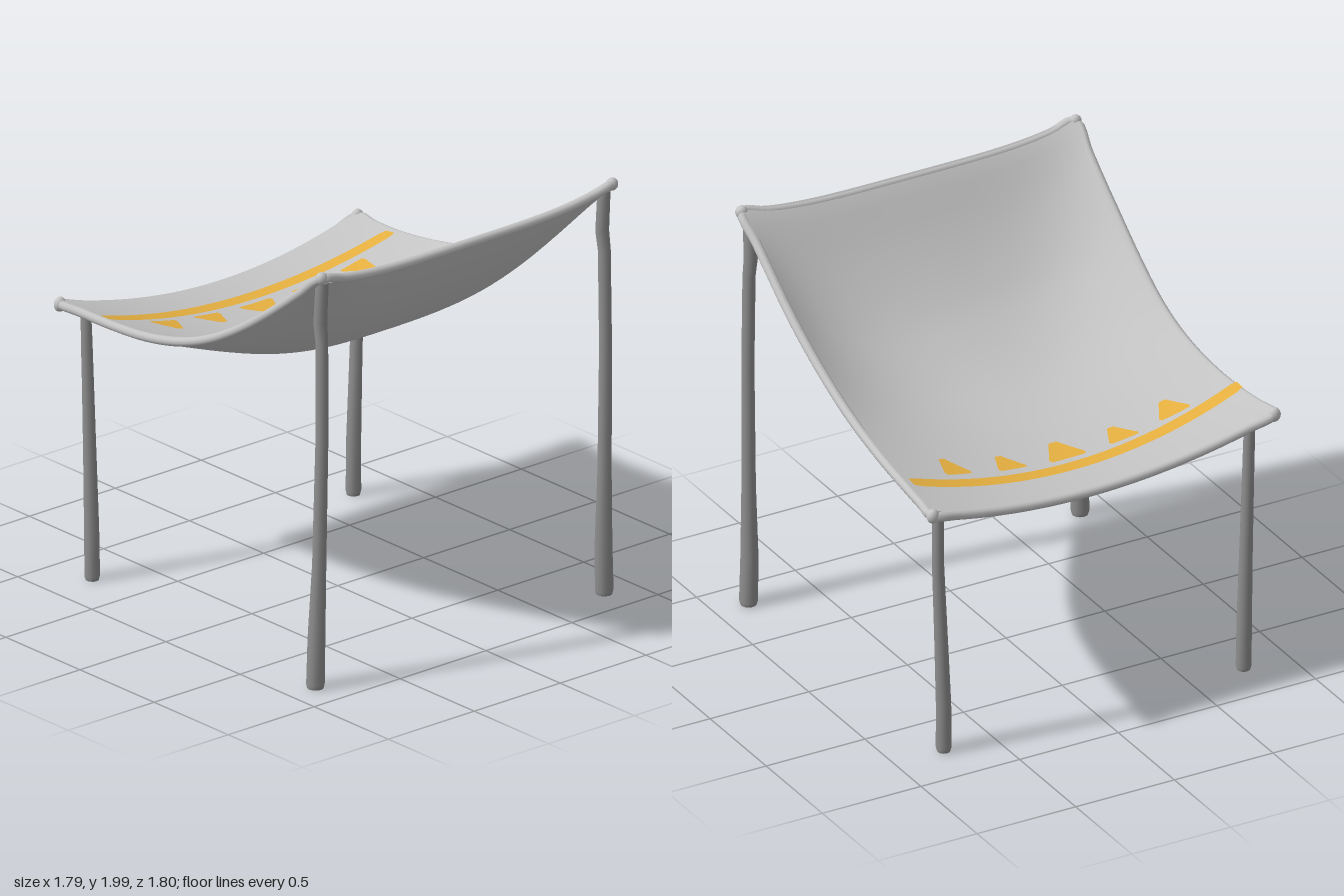
import * as THREE from 'three';

const mat = (name, color, side = THREE.FrontSide) =>
  Object.assign(new THREE.MeshStandardMaterial({ color, side }), { name });

// Stations from back to front: z, height at the middle, height at the sides, half width
const STATIONS = [
  [-0.87, 1.165, 1.29, 0.865], [-0.6, 1.155, 1.29, 0.843], [-0.35, 1.165, 1.31, 0.833],
  [-0.1, 1.195, 1.36, 0.825], [0.1, 1.245, 1.435, 0.825], [0.3, 1.335, 1.545, 0.832],
  [0.48, 1.455, 1.665, 0.838], [0.68, 1.655, 1.815, 0.84], [0.87, 1.905, 1.965, 0.845],
];
const HEM = 0.022;

// Smooth interpolation of one station column
function along(z, col) {
  const s = STATIONS, n = s.length - 1;
  let i = 0;
  while (i < n - 1 && z > s[i + 1][0]) i++;
  const slope = (k) => {
    const a = s[Math.max(k - 1, 0)], b = s[Math.min(k + 1, n)];
    return (b[col] - a[col]) / (b[0] - a[0]);
  };
  const h = s[i + 1][0] - s[i][0];
  const t = THREE.MathUtils.clamp((z - s[i][0]) / h, 0, 1);
  const t2 = t * t, t3 = t2 * t;
  return (2 * t3 - 3 * t2 + 1) * s[i][col] + (t3 - 2 * t2 + t) * h * slope(i)
    + (3 * t2 - 2 * t3) * s[i + 1][col] + (t3 - t2) * h * slope(i + 1);
}

// Height of the sagging cloth
function clothY(x, z) {
  const u = Math.min(Math.abs(x) / along(z, 3), 1.05);
  const power = 2 + 2 * THREE.MathUtils.smoothstep(z, -0.4, 0.9);
  const mid = along(z, 1), edge = along(z, 2);
  const tilt = -0.025 * x * THREE.MathUtils.smoothstep(-z, 0.2, 0.85);
  return mid + (edge - mid) * Math.pow(u, power) + tilt;
}

// Height of a face lying the given thickness off the cloth, measured square to it
function faceY(x, z, thickness) {
  const slope = (clothY(x, Math.min(z + 0.02, 0.87)) - clothY(x, z - 0.02)) / 0.04;
  return clothY(x, z) + thickness * Math.hypot(1, slope);
}

// Point of the cloth for u and v in -1..1
function clothPoint(u, v, thickness = 0) {
  const z0 = 0.87 * v;
  const x = u * along(z0, 3);
  const z = z0 + (v < 0 ? 0.02 * v * v * (1 - u * u) : 0);
  return new THREE.Vector3(x, faceY(x, z0, thickness), z);
}

// Grid surface from a point function; faces up unless flipped
function grid(nu, nv, fn, flip = false) {
  const pos = [], idx = [];
  for (let j = 0; j <= nv; j++)
    for (let i = 0; i <= nu; i++) pos.push(...fn(i / nu, j / nv).toArray());
  for (let j = 0; j < nv; j++)
    for (let i = 0; i < nu; i++) {
      const a = j * (nu + 1) + i, b = a + 1, c = a + nu + 1, d = c + 1;
      if (flip) idx.push(a, b, c, b, d, c);
      else idx.push(a, c, b, b, c, d);
    }
  const g = new THREE.BufferGeometry();
  g.setAttribute('position', new THREE.Float32BufferAttribute(pos, 3));
  g.setIndex(idx);
  g.computeVertexNormals();
  return g;
}

// Slightly bent, tapering pole; rings are [y, x, z, radius] from bottom to top
function pole(rings) {
  const n = rings.length - 1;
  const g = new THREE.CylinderGeometry(1, 1, n, 12, n);
  const p = g.attributes.position;
  for (let i = 0; i < p.count; i++) {
    const [y, x, z, r] = rings[Math.round(p.getY(i) + n / 2)];
    p.setXYZ(i, x + p.getX(i) * r, y, z + p.getZ(i) * r);
  }
  g.computeVertexNormals();
  return g;
}

export function createModel() {
  const model = new THREE.Group();
  model.name = 'canopy';
  const cloth = mat('light cloth', 0xc4c4c4);
  const wood = mat('grey pole', 0x8e8e8e);
  const paint = mat('ochre trim', 0xe6b040, THREE.DoubleSide);
  const add = (name, geometry, material, parent = model) => {
    const m = new THREE.Mesh(geometry, material);
    m.name = name;
    parent.add(m);
    return m;
  };

  // Cloth: upper face runs flush into the hem, lower face sits inside it
  add('clothTop', grid(48, 52, (a, b) => clothPoint(a * 2 - 1, b * 2 - 1, HEM)), cloth);
  add('clothUnderside', grid(48, 52, (a, b) => clothPoint(a * 2 - 1, b * 2 - 1, -0.018), true), cloth);

  // Rolled hem around the whole edge
  const edge = [];
  const N = 14;
  for (let i = 0; i < N; i++) edge.push(clothPoint(-1 + 2 * i / N, 1));
  for (let i = 0; i < N; i++) edge.push(clothPoint(1, 1 - 2 * i / N));
  for (let i = 0; i < N; i++) edge.push(clothPoint(1 - 2 * i / N, -1));
  for (let i = 0; i < N; i++) edge.push(clothPoint(-1, -1 + 2 * i / N));
  add('hem', new THREE.TubeGeometry(new THREE.CatmullRomCurve3(edge, true), 224, HEM, 10, true), cloth);

  // Gathered corners
  for (const u of [-1, 1])
    for (const v of [-1, 1]) {
      const knob = add('cornerGather', new THREE.SphereGeometry(0.03, 14, 10), cloth);
      knob.position.copy(clothPoint(u, v));
      knob.scale.set(1, v < 0 ? 1.15 : 1, 0.85);
    }

  // Legs: long at the front, short at the back
  for (const s of [-1, 1]) {
    const o = s < 0 ? 0 : -0.02;
    add('frontLeg', pole([
      [0.01, s * (0.85 + o), 0.835, 0.037], [0.03, s * (0.85 + o), 0.835, 0.042],
      [0.25, s * (0.845 + o), 0.836, 0.04], [0.6, s * (0.835 + o / 2), 0.843, 0.032],
      [1.2, s * 0.825, 0.85, 0.029], [1.65, s * 0.822, 0.845, 0.029],
      [1.74, s * 0.82, 0.833, 0.031], [1.9, s * 0.82, 0.843, 0.03], [1.935, s * 0.822, 0.85, 0.026],
    ]), wood);
    add('backLeg', pole([
      [0.01, s * (0.77 + o), -0.763, 0.03], [0.03, s * (0.77 + o), -0.763, 0.035],
      [0.25, s * (0.772 + o), -0.765, 0.034], [0.6, s * (0.778 + o / 2), -0.77, 0.03],
      [0.95, s * 0.785, -0.775, 0.027], [1.15, s * 0.788, -0.78, 0.026], [1.265, s * 0.79, -0.782, 0.024],
    ]), wood);
  }

  // Painted trim lying just above the cloth
  const trim = new THREE.Group();
  trim.name = 'paintedTrim';
  model.add(trim);
  const onCloth = (x, z) => new THREE.Vector3(x, faceY(x, z, HEM + 0.004), z);
  add('stripe', grid(48, 3, (a, b) => {
    const x = THREE.MathUtils.lerp(-0.85, 0.815, a);
    const end = Math.min(1, 0.8 + Math.min(a, 1 - a) * 10);
    return onCloth(x, -0.633 + 0.045 * Math.pow(x / 0.83, 2) + (b - 0.5) * 0.07 * end);
  }), paint, trim);

  // Pennants with blunt tips: x, half width, back z, tip z, tip shift
  for (const [cx, w, z0, z1, lean] of [
    [-0.55, 0.08, -0.548, -0.42, 0], [-0.285, 0.076, -0.563, -0.442, 0.01],
    [0, 0.096, -0.563, -0.412, 0], [0.27, 0.073, -0.548, -0.425, 0.015],
    [0.535, 0.069, -0.533, -0.397, 0.02],
  ]) {
    add('pennant', grid(6, 8, (a, b) => {
      const half = w * Math.min(0.88 + b, 1.06 - 0.86 * b);
      return onCloth(cx + lean * b + (a * 2 - 1) * half, THREE.MathUtils.lerp(z0, z1, b));
    }), paint, trim);
  }
  return model;
}
